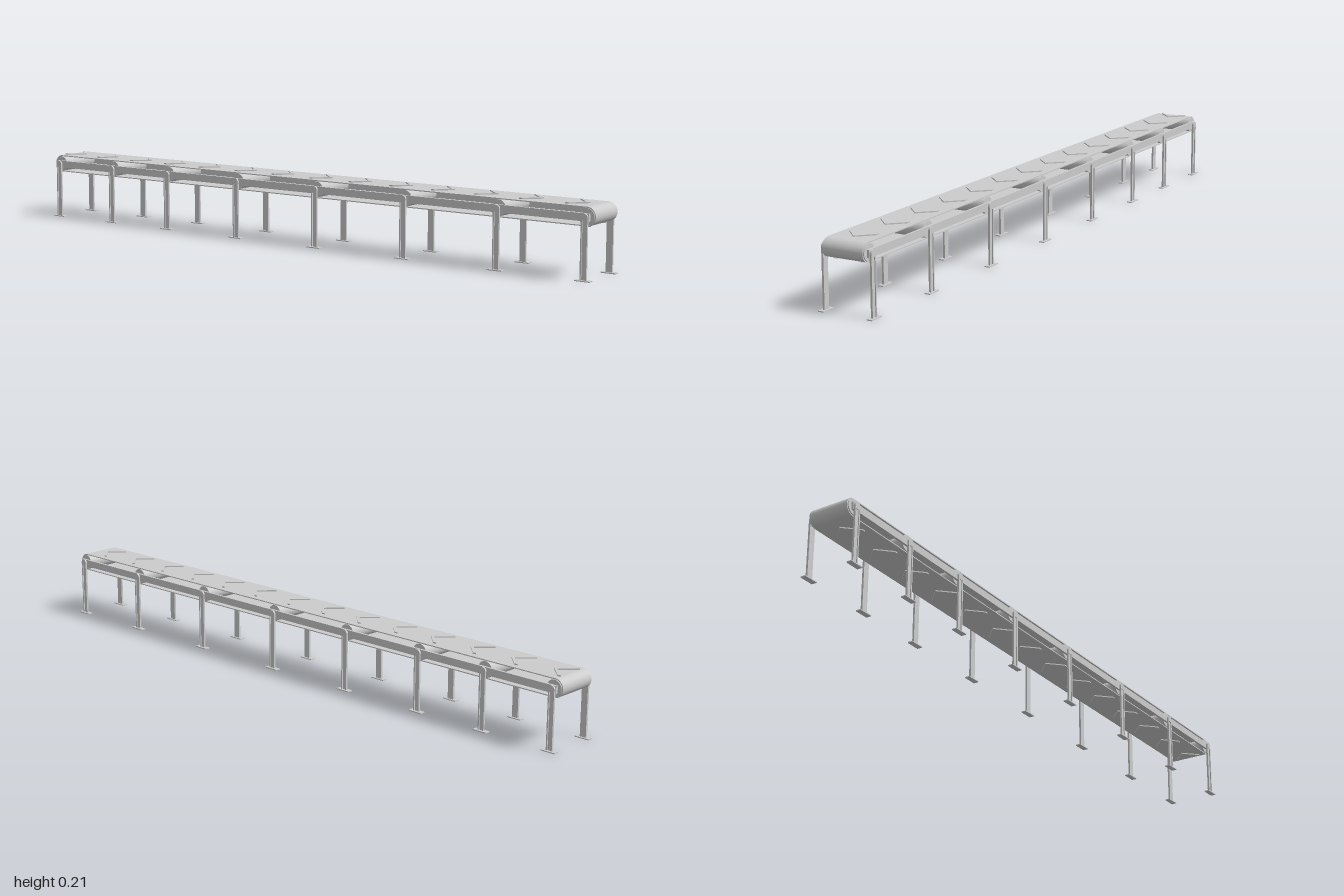
import * as THREE from 'three';

const AXIS_Y = 0.175, END_Z = 0.973, BELT_R = 0.027, BELT_T = 0.003, BELT_W = 0.126;
const STATIONS = [END_Z, 0.70, 0.39, 0.075, -0.225, -0.505, -0.74, -END_Z];

export function createModel() {
  const model = new THREE.Group();
  model.name = 'conveyor';
  const grey = new THREE.MeshStandardMaterial({ color: 0xcccccc });

  const add = (parent, name, geometry, x = 0, y = 0, z = 0) => {
    const mesh = new THREE.Mesh(geometry, grey);
    mesh.name = name;
    mesh.position.set(x, y, z);
    parent.add(mesh);
    return mesh;
  };
  const box = (parent, name, w, h, d, x, y, z) =>
    add(parent, name, new THREE.BoxGeometry(w, h, d), x, y, z);
  const rod = (parent, name, r, length, x, y, z) => {
    const g = new THREE.CylinderGeometry(r, r, length, 32).rotateZ(Math.PI / 2);
    return add(parent, name, g, x, y, z);
  };

  // Belt: a thin closed loop round the end drums
  const loop = (path, r) => {
    path.absarc(END_Z, 0, r, -Math.PI / 2, Math.PI / 2, false);
    path.absarc(-END_Z, 0, r, Math.PI / 2, Math.PI * 1.5, false);
    path.closePath();
    return path;
  };
  const beltShape = loop(new THREE.Shape(), BELT_R);
  beltShape.holes.push(loop(new THREE.Path(), BELT_R - BELT_T));
  const beltGeometry = new THREE.ExtrudeGeometry(beltShape, {
    depth: BELT_W, bevelEnabled: false, curveSegments: 20,
  });
  beltGeometry.translate(0, 0, -BELT_W / 2).rotateY(-Math.PI / 2);
  add(model, 'belt', beltGeometry, 0, AXIS_Y, 0);

  // Chevron cleats: they point forward above and backward on the return run
  const chevron = new THREE.Shape();
  [[0, 0], [0.043, 0.043], [0.043, 0.054], [0, 0.011], [-0.043, 0.054], [-0.043, 0.043]]
    .forEach(([x, y], i) => (i ? chevron.lineTo(x, y) : chevron.moveTo(x, y)));
  const cleatGeometry = new THREE.ExtrudeGeometry(chevron, { depth: 0.005, bevelEnabled: false });
  cleatGeometry.rotateX(-Math.PI / 2);
  const cleats = new THREE.Group();
  cleats.name = 'cleats';
  model.add(cleats);
  for (let i = 0; i < 14; i++) {
    const z = 0.95 - i * 0.144;
    add(cleats, 'topCleat', cleatGeometry, 0, 0.2005, z);
    const lower = add(cleats, 'bottomCleat', cleatGeometry, 0, 0.1495, -z);
    lower.rotation.x = Math.PI;
  }

  // Rollers, one above each pair of legs
  for (const z of STATIONS) {
    rod(model, 'roller', BELT_R - BELT_T, 0.132, 0, AXIS_Y, z);
    rod(model, 'axle', 0.006, 0.152, 0, AXIS_Y, z);
  }

  for (const side of [-1, 1]) {
    // Side rail
    box(model, 'sideRail', 0.007, 0.022, 1.97, side * 0.0697, 0.174, 0);

    // Legs: channels open to the outside, with a round head and a flat foot
    for (const z of STATIONS) {
      const leg = new THREE.Group();
      leg.name = 'leg';
      leg.position.set(side * 0.076, 0, z);
      model.add(leg);
      box(leg, 'legWeb', 0.003, 0.172, 0.02, -side * 0.0015, 0.088, 0);
      for (const edge of [-1, 1])
        box(leg, 'legFlange', 0.006, 0.172, 0.004, 0, 0.088, edge * 0.008);
      rod(leg, 'legHead', 0.0105, 0.006, 0, 0.1745, 0);
      box(leg, 'foot', 0.017, 0.003, 0.046, 0, 0.0015, 0);
    }
  }
  return model;
}
